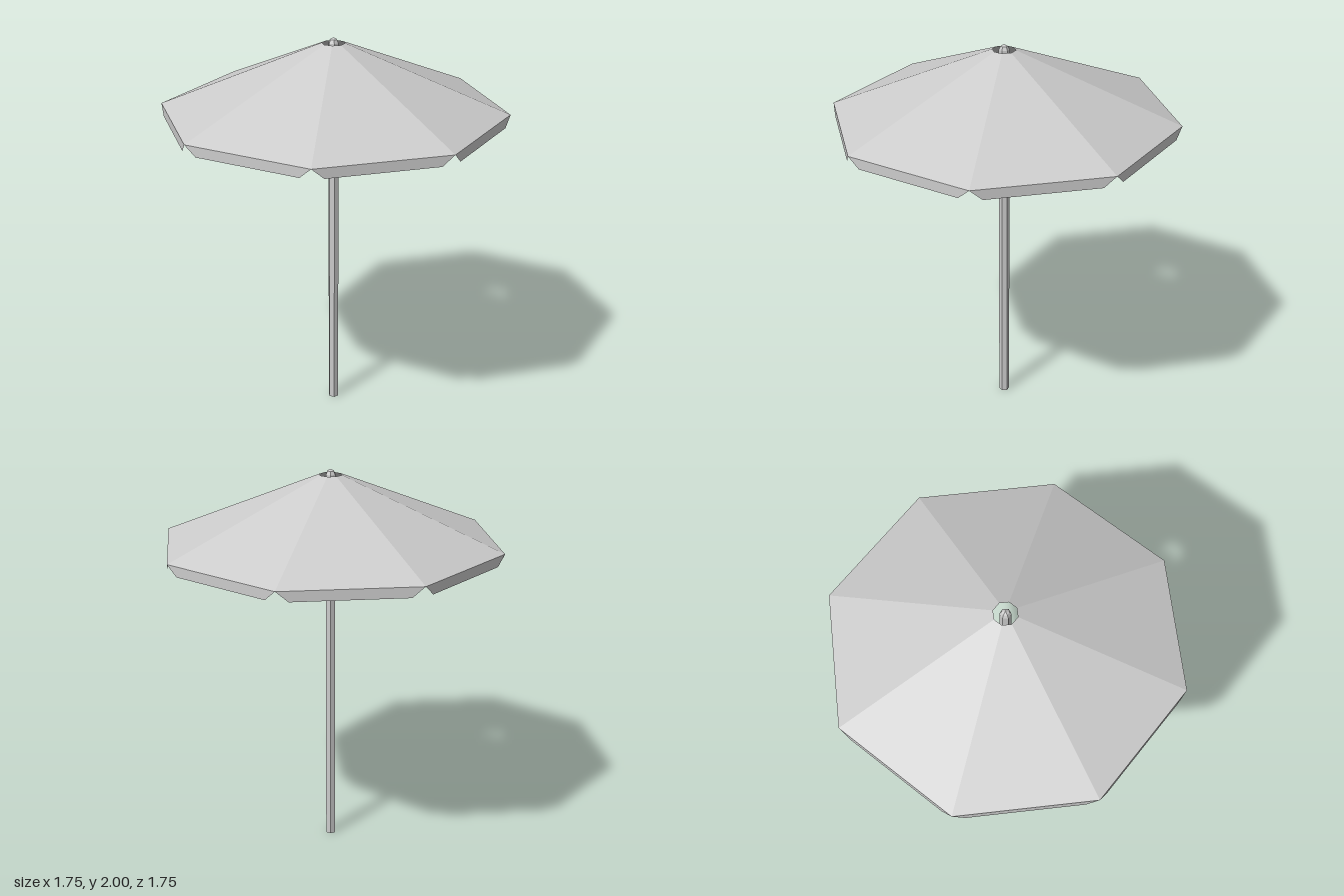
import * as THREE from 'three';

const SIDES = 8;
const RIM_RADIUS = 0.875, RIM_Y = 1.636;
const HOLE_RADIUS = 0.058, TOP_Y = 1.972;
const VALANCE_DROP = 0.051, VALANCE_INSET = 0.06;

export function createModel() {
  const group = new THREE.Group();
  group.name = 'parasol';
  const solid = new THREE.MeshStandardMaterial({ color: 0xcccccc, flatShading: true });
  const cloth = new THREE.MeshStandardMaterial({ color: 0xcccccc, flatShading: true, side: THREE.DoubleSide });

  const add = (name, geometry, material, parent = group) => {
    const mesh = new THREE.Mesh(geometry, material);
    mesh.name = name;
    parent.add(mesh);
    return mesh;
  };

  // Six-sided pole with a tapered tip, open at the foot
  const profile = [[0.027, 0], [0.027, 1.972], [0.018, 1.99], [0, 2]];
  add('pole', new THREE.LatheGeometry(profile.map(([r, y]) => new THREE.Vector2(r, y)), 6), solid);

  // Eight-panel canopy with an open vent around the pole
  const canopy = add('canopy',
    new THREE.CylinderGeometry(HOLE_RADIUS, RIM_RADIUS, TOP_Y - RIM_Y, SIDES, 1, true), cloth);
  canopy.position.y = (TOP_Y + RIM_Y) / 2;

  // Hanging flaps, one below each rim edge, narrowing downwards
  const half = RIM_RADIUS * Math.sin(Math.PI / SIDES);
  const apothem = RIM_RADIUS * Math.cos(Math.PI / SIDES);
  const flap = new THREE.ShapeGeometry(new THREE.Shape([
    new THREE.Vector2(-half, 0),
    new THREE.Vector2(-half + VALANCE_INSET, -VALANCE_DROP),
    new THREE.Vector2(half - VALANCE_INSET, -VALANCE_DROP),
    new THREE.Vector2(half, 0),
  ]));
  flap.translate(0, 0, apothem);
  const valance = new THREE.Group();
  valance.name = 'valance';
  valance.position.y = RIM_Y;
  for (let i = 0; i < SIDES; i++) {
    add('valanceFlap', flap, cloth, valance).rotation.y = (i + 0.5) * 2 * Math.PI / SIDES;
  }
  group.add(valance);

  return group;
}
